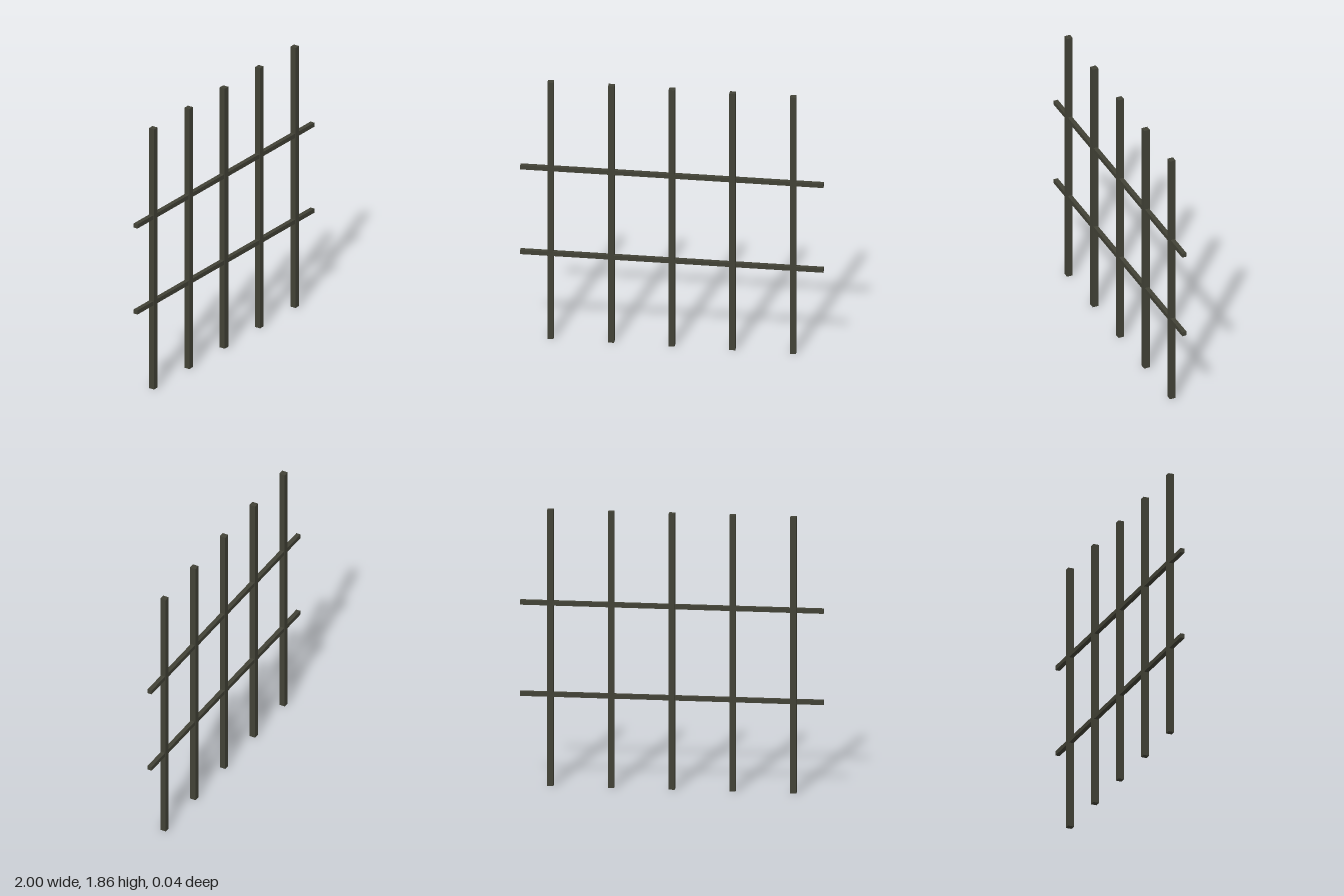
import * as THREE from 'three';

export function createModel() {
  const model = new THREE.Group();
  model.name = 'barGrille';

  const darkIron = new THREE.MeshStandardMaterial({ color: 0x424236 });
  darkIron.name = 'dark iron';

  const height = 1.86;

  function addBar(name, width, tall, depth, x, y) {
    const bar = new THREE.Mesh(new THREE.BoxGeometry(width, tall, depth), darkIron);
    bar.name = name;
    bar.position.set(x, y, 0);
    model.add(bar);
  }

  // Five upright bars, evenly spaced
  for (let i = -2; i <= 2; i++) {
    addBar('uprightBar', 0.04, height, 0.04, i * 0.4, height / 2);
  }

  // Two thinner rails at one third and two thirds of the height
  for (const y of [0.615, 1.23]) {
    addBar('crossRail', 2, 0.03, 0.03, 0, y);
  }

  return model;
}
